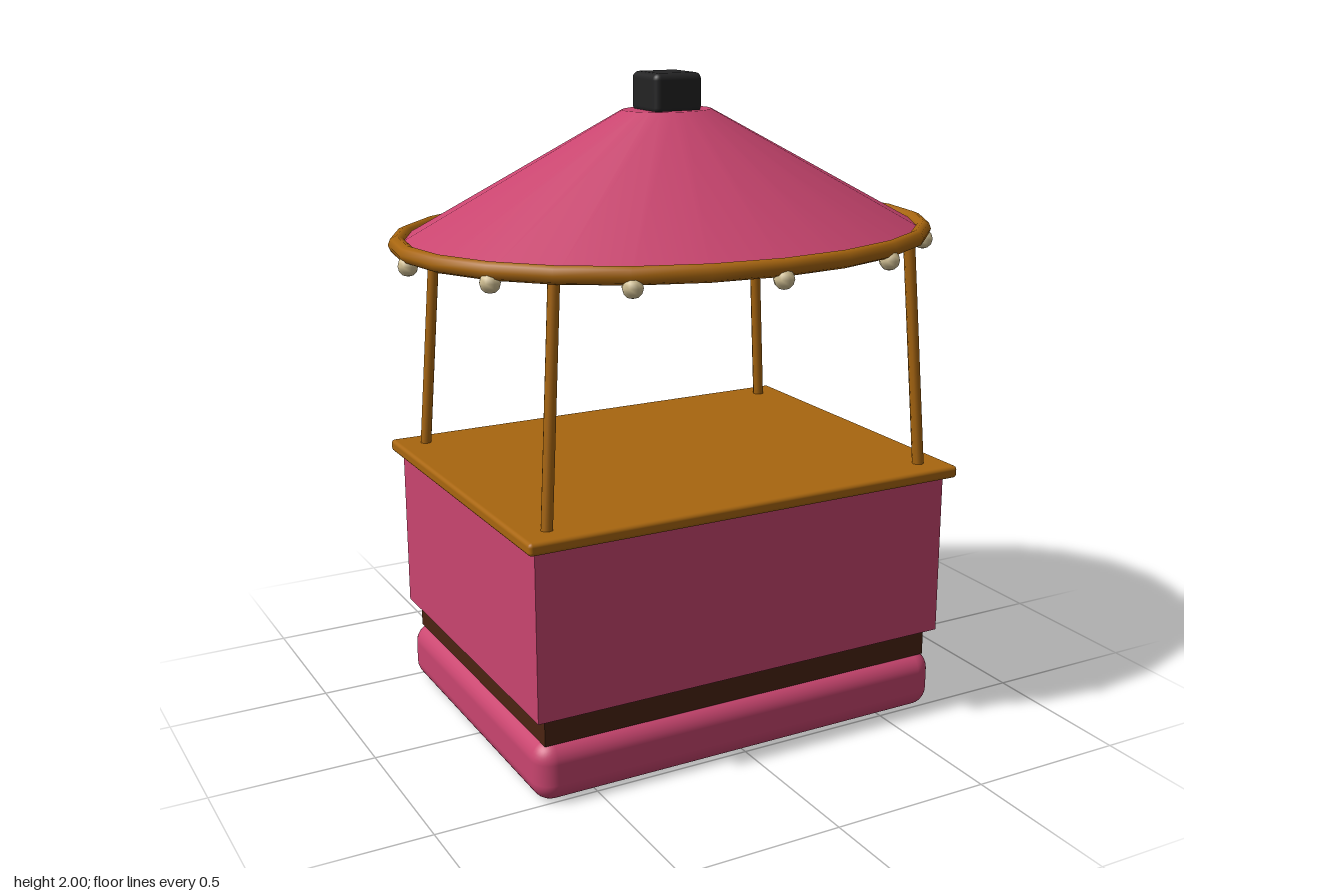
import * as THREE from 'three';
import { RoundedBoxGeometry } from 'three/addons/geometries/RoundedBoxGeometry.js';

function flat(name, color) {
  const m = new THREE.MeshStandardMaterial({ color });
  m.name = name;
  return m;
}

export function createModel() {
  const pink = flat('pink paint', 0xc9456f);
  const wood = flat('golden wood', 0xa8660f);
  const brown = flat('dark brown', 0x4a2412);
  const cream = flat('cream bulb', 0xd6c497);
  const black = flat('black cap', 0x232324);

  const model = new THREE.Group();
  model.name = 'marketStall';

  function add(name, geometry, material, x = 0, y = 0, z = 0, parent = model) {
    const mesh = new THREE.Mesh(geometry, material);
    mesh.name = name;
    mesh.position.set(x, y, z);
    parent.add(mesh);
    return mesh;
  }

  // Base and recessed plinth, whose top is the floor of the stall
  add('base', new RoundedBoxGeometry(1.38, 0.185, 1.04, 4, 0.06), pink, 0, 0.0925, 0);
  add('plinth', new THREE.BoxGeometry(1.32, 0.09, 0.99), brown, 0, 0.223, 0);

  // Hollow body: full front and sides, low wall at the back
  const t = 0.03, y0 = 0.265, y1 = 0.78, h = y1 - y0, mid = (y0 + y1) / 2, low = 0.25;
  const body = new THREE.Group();
  body.name = 'body';
  model.add(body);
  add('frontWall', new THREE.BoxGeometry(1.38, h, t), pink, 0, mid, 0.52 - t / 2, body);
  add('backLowWall', new THREE.BoxGeometry(1.38 - 2 * t, low, t), pink, 0, y0 + low / 2, -0.52 + t / 2, body);
  for (const s of [-1, 1]) {
    add(s > 0 ? 'leftWall' : 'rightWall', new THREE.BoxGeometry(t, h, 1.04 - t), pink,
      s * (0.69 - t / 2), mid, -t / 2, body);
  }

  // Counter top
  add('counter', new RoundedBoxGeometry(1.44, 0.038, 1.11, 2, 0.012), wood, 0, 0.796, 0);

  // Four posts leaning inwards
  const up = new THREE.Vector3(0, 1, 0);
  for (const sx of [-1, 1]) {
    for (const sz of [-1, 1]) {
      const a = new THREE.Vector3(sx * 0.631, 0.8, sz * 0.471);
      const b = new THREE.Vector3(sx * 0.581, 1.53, sz * 0.443);
      const dir = b.clone().sub(a);
      const post = add('post', new THREE.CylinderGeometry(0.018, 0.018, dir.length(), 8), wood);
      post.position.copy(a).add(b).multiplyScalar(0.5);
      post.quaternion.setFromUnitVectors(up, dir.normalize());
    }
  }

  // Oval canopy with wooden rim
  const oval = 0.8;
  const roof = new THREE.CylinderGeometry(0.14, 0.827, 0.37, 24);
  roof.scale(1, 1, oval);
  add('canopy', roof, pink, 0, 1.705, 0);
  const rim = new THREE.TorusGeometry(0.83, 0.026, 8, 24);
  rim.rotateX(Math.PI / 2);
  rim.scale(1, 1, oval);
  add('canopyRim', rim, wood, 0, 1.52, 0);

  // Bulbs hanging around the rim
  const bulb = new THREE.SphereGeometry(0.031, 8, 6);
  for (let i = 0; i < 12; i++) {
    const a = (i / 12) * Math.PI * 2;
    add('bulb', bulb, cream, 0.83 * Math.cos(a), 1.489, 0.83 * oval * Math.sin(a));
  }

  // Cap on top of the canopy
  add('roofCap', new RoundedBoxGeometry(0.16, 0.12, 0.16, 3, 0.02), black, 0, 1.94, 0);

  return model;
}
